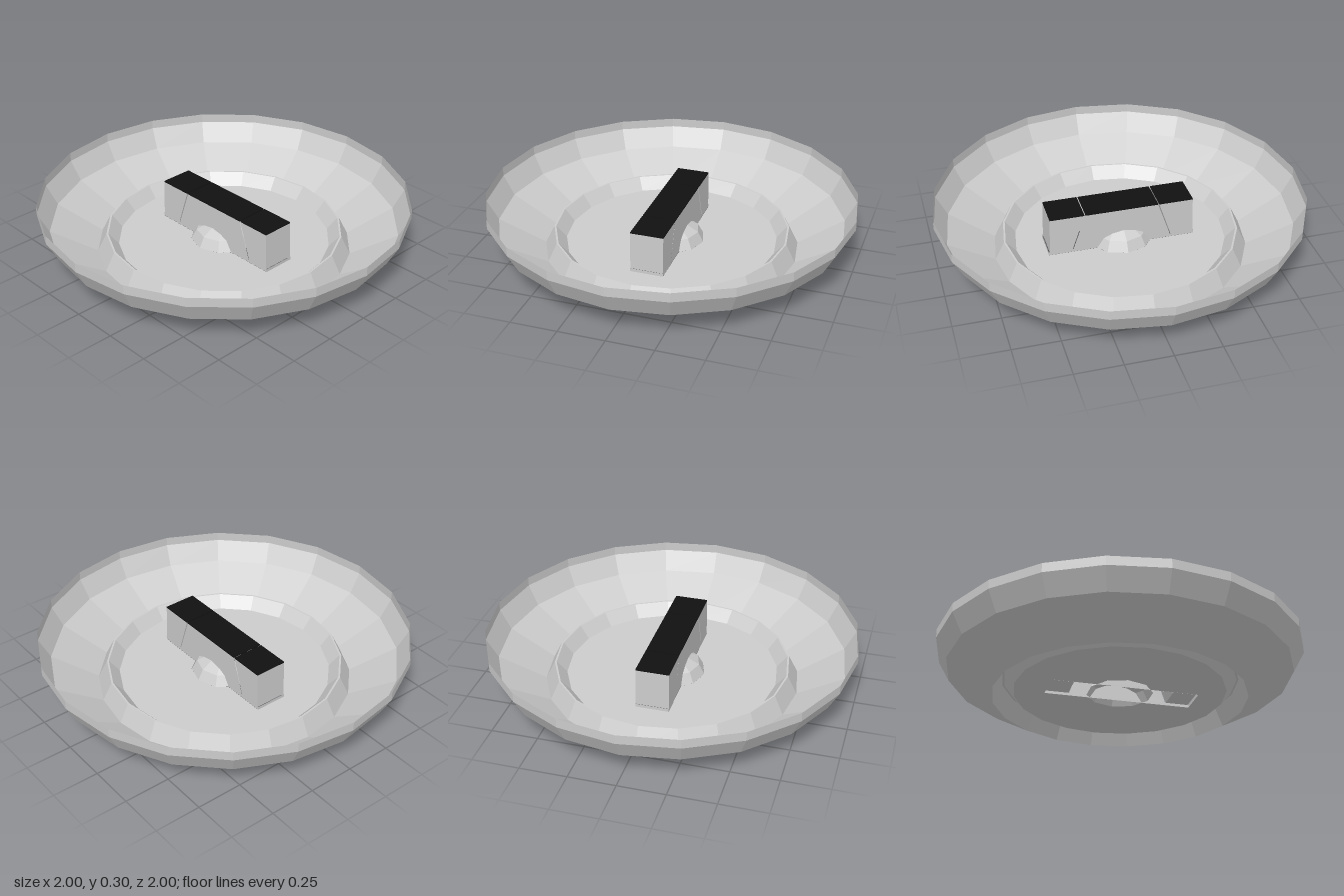
import * as THREE from 'three';

const SIDES = 20;
const FLOOR = 0.035, TOP = 0.26, HALF = 0.09;

function grey() {
  return new THREE.MeshStandardMaterial({ color: 0xcccccc, flatShading: true, side: THREE.DoubleSide });
}

function add(parent, name, geometry, material = grey()) {
  const mesh = new THREE.Mesh(geometry, material);
  mesh.name = name;
  parent.add(mesh);
  return mesh;
}

function lathe(points, sides, start = 0) {
  return new THREE.LatheGeometry(points.map(([r, y]) => new THREE.Vector2(r, y)), sides, start);
}

function shape(points) {
  return new THREE.Shape(points.map(([x, y]) => new THREE.Vector2(x, y)));
}

export function createModel() {
  const model = new THREE.Group();
  model.name = 'dish';

  // Thin flared wall
  add(model, 'bowl', lathe([[0.69, 0], [0.94, 0.14], [1, 0.25], [1, 0.3]], SIDES));

  // Raised ring around the floor
  add(model, 'ridge', lathe([[0.575, FLOOR], [0.63, 0.1], [0.64, 0.1], [0.69, 0]], SIDES));

  // Floor disc, open beneath the handle and boss
  const rim = [];
  for (let i = 0; i < SIDES; i++) {
    const a = (i / SIDES) * Math.PI * 2;
    rim.push([0.575 * Math.cos(a), 0.575 * Math.sin(a)]);
  }
  const floorShape = shape(rim);
  const side = [[HALF, -0.415], [HALF, -0.147], [0.146, -0.106], [0.18, 0], [0.146, 0.106], [HALF, 0.147], [HALF, 0.395]];
  const mirrored = side.map(([x, y]) => [-x, y]).reverse();
  floorShape.holes.push(shape([...side, ...mirrored]));
  const floorGeometry = new THREE.ShapeGeometry(floorShape).rotateX(-Math.PI / 2).translate(0, FLOOR, 0);
  add(model, 'floor', floorGeometry);

  // Faceted boss under the handle
  add(model, 'boss', lathe([[0.18, FLOOR], [0.15, 0.09], [0.085, 0.125]], 10, Math.PI / 2));

  const handle = new THREE.Group();
  handle.name = 'handle';
  handle.position.z = 0.01;
  model.add(handle);
  const black = new THREE.MeshStandardMaterial({ color: 0x111111, flatShading: true });

  // Hollow middle, wider at its foot
  const wall = shape([[-0.405, FLOOR], [0.405, FLOOR], [0.405, 0.052], [0.27, 0.052], [0.2, TOP - 0.004],
    [-0.2, TOP - 0.004], [-0.27, 0.052], [-0.405, 0.052]]);
  for (const s of [-1, 1]) {
    const geometry = new THREE.ShapeGeometry(wall).rotateY(-Math.PI / 2).translate(s * (HALF - 0.001), 0, 0);
    add(handle, 'handleSide', geometry);
  }
  const middleTop = add(handle, 'middleTop', new THREE.BoxGeometry(2 * HALF, 0.006, 0.4), black);
  middleTop.position.y = TOP - 0.003;

  // Solid end blocks with sloped inner faces, and their foot lips
  const block = shape([[0.207, TOP - 0.006], [0.395, TOP - 0.006], [0.4, 0.05], [0.275, 0.05]]);
  for (const turn of [0, Math.PI]) {
    const end = new THREE.Group();
    end.name = 'handleEnd';
    end.rotation.y = turn;
    handle.add(end);
    const geometry = new THREE.ExtrudeGeometry(block, { depth: 2 * HALF, bevelEnabled: false });
    add(end, 'endBlock', geometry.rotateY(-Math.PI / 2).translate(HALF, 0, 0));
    const top = add(end, 'endTop', new THREE.BoxGeometry(2 * HALF, 0.006, 0.188), black);
    top.position.set(0, TOP - 0.003, 0.301);
    const lip = add(end, 'endLip', new THREE.PlaneGeometry(2 * HALF, 0.017));
    lip.position.set(0, FLOOR + 0.0085, 0.405);
  }
  return model;
}
